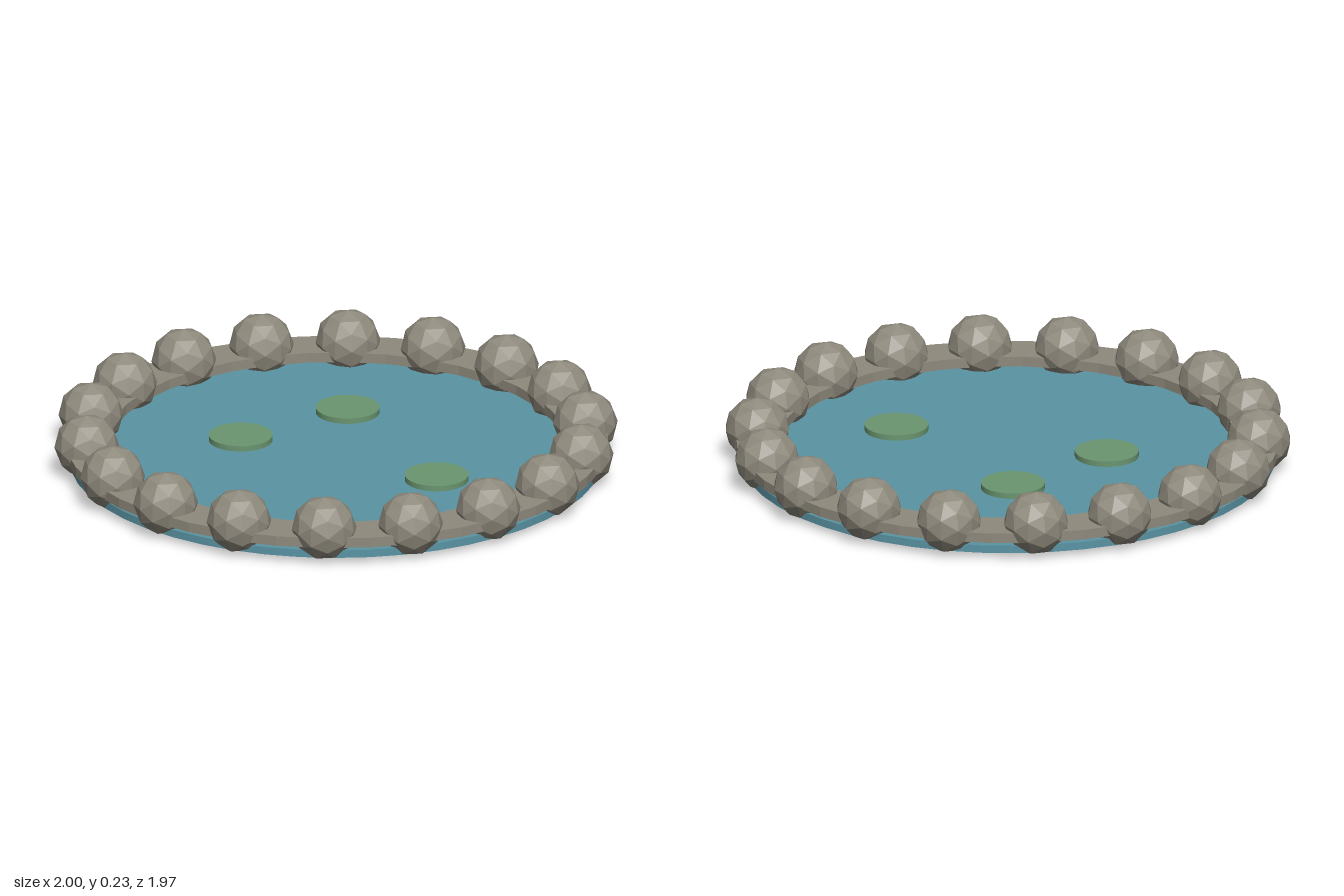
import * as THREE from 'three';

export function createModel() {
  const group = new THREE.Group();
  group.name = 'pond';

  const material = (name, color, flatShading = false) => {
    const m = new THREE.MeshStandardMaterial({ color, flatShading });
    m.name = name;
    return m;
  };
  const stoneGrey = material('stone grey', 0x8f8a7d, true);
  const waterBlue = material('water blue', 0x5a94a4);
  const lilyGreen = material('lily green', 0x6a9670);

  const add = (name, geometry, mat, x, y, z) => {
    const mesh = new THREE.Mesh(geometry, mat);
    mesh.name = name;
    mesh.position.set(x, y, z);
    group.add(mesh);
  };

  // Water disc
  add('water', new THREE.CylinderGeometry(0.94, 0.94, 0.028, 48), waterBlue, 0, 0.036, 0);

  // Flat stone rim, raised just above the water
  const rim = new THREE.Shape().absarc(0, 0, 0.96, 0, Math.PI * 2, false);
  rim.holes.push(new THREE.Path().absarc(0, 0, 0.8, 0, Math.PI * 2, true));
  const rimGeometry = new THREE.ExtrudeGeometry(rim, { depth: 0.036, bevelEnabled: false, curveSegments: 18 });
  rimGeometry.rotateX(-Math.PI / 2);
  add('rim', rimGeometry, stoneGrey, 0, 0.067, 0);

  // Ring of faceted stones
  const stoneGeometry = new THREE.IcosahedronGeometry(0.115, 1);
  const stones = 18;
  for (let i = 0; i < stones; i++) {
    const a = (i / stones) * Math.PI * 2;
    add('stone', stoneGeometry, stoneGrey, Math.cos(a) * 0.885, 0.115, Math.sin(a) * 0.885);
  }

  // Lily pads
  const padGeometry = new THREE.CylinderGeometry(0.113, 0.113, 0.02, 24);
  for (const [x, z] of [[-0.32, -0.145], [0.087, -0.357], [0.317, 0.315]]) {
    add('lilyPad', padGeometry, lilyGreen, x, 0.062, z);
  }

  return group;
}
